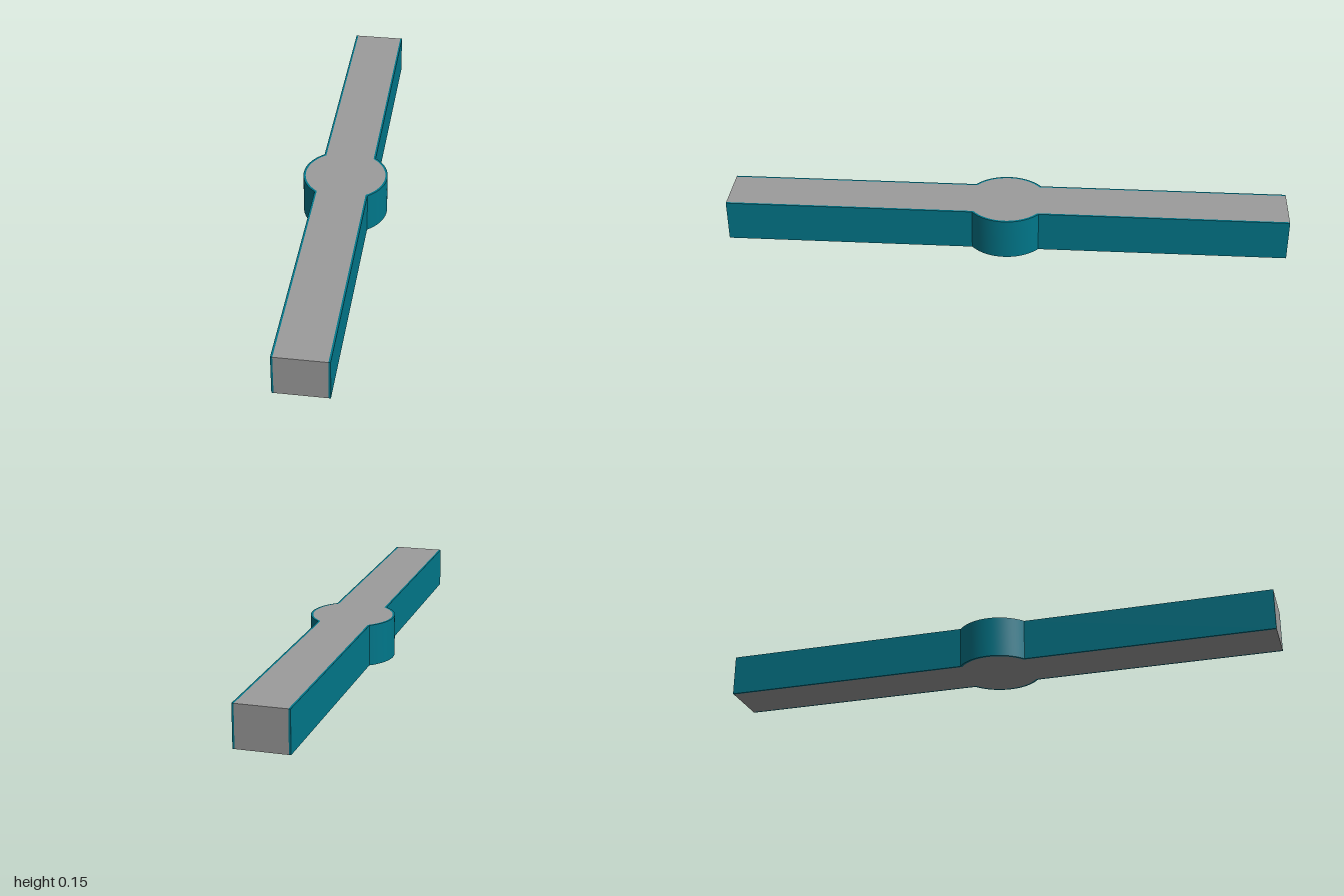
import * as THREE from 'three';
import { toCreasedNormals } from 'three/addons/utils/BufferGeometryUtils.js';

const HEIGHT = 0.148, LENGTH = 2, HALF = LENGTH / 2;
const OUTER = { w: 0.094, r: 0.151 };  // outside of the side strips
const INNER = { w: 0.087, r: 0.143 };  // outside of the core
const GREY = 0x9c9c9c, TEAL = 0x00778a;

// Right-hand edge of the plan, from one end to the other, bulging round the hub
function edge({ w, r }) {
  const a = Math.acos(w / r), steps = 24;
  const points = [new THREE.Vector2(w, -HALF)];
  for (let i = 0; i <= steps; i++) {
    const t = -a + (2 * a * i) / steps;
    points.push(new THREE.Vector2(r * Math.cos(t), r * Math.sin(t)));
  }
  points.push(new THREE.Vector2(w, HALF));
  return points;
}

// Raise a plan outline to the full height, with smooth arcs and sharp corners
function slab(name, points, color) {
  const geometry = new THREE.ExtrudeGeometry(new THREE.Shape(points), { depth: HEIGHT, bevelEnabled: false });
  geometry.rotateX(-Math.PI / 2);
  const mesh = new THREE.Mesh(toCreasedNormals(geometry, 0.4), new THREE.MeshStandardMaterial({ color }));
  mesh.name = name;
  return mesh;
}

const turn = (points) => points.map((p) => new THREE.Vector2(-p.x, -p.y));

export function createModel() {
  const group = new THREE.Group();
  group.name = 'barWithRoundHub';

  // Core: straight bar with a round hub in the middle
  const inner = edge(INNER);
  group.add(slab('core', [...inner, ...turn(inner)], GREY));

  // Thin coloured strips following both long sides
  const strip = [...edge(OUTER), ...edge(INNER).reverse()];
  group.add(slab('leftSideStrip', strip, TEAL));
  group.add(slab('rightSideStrip', turn(strip), TEAL));

  return group;
}
